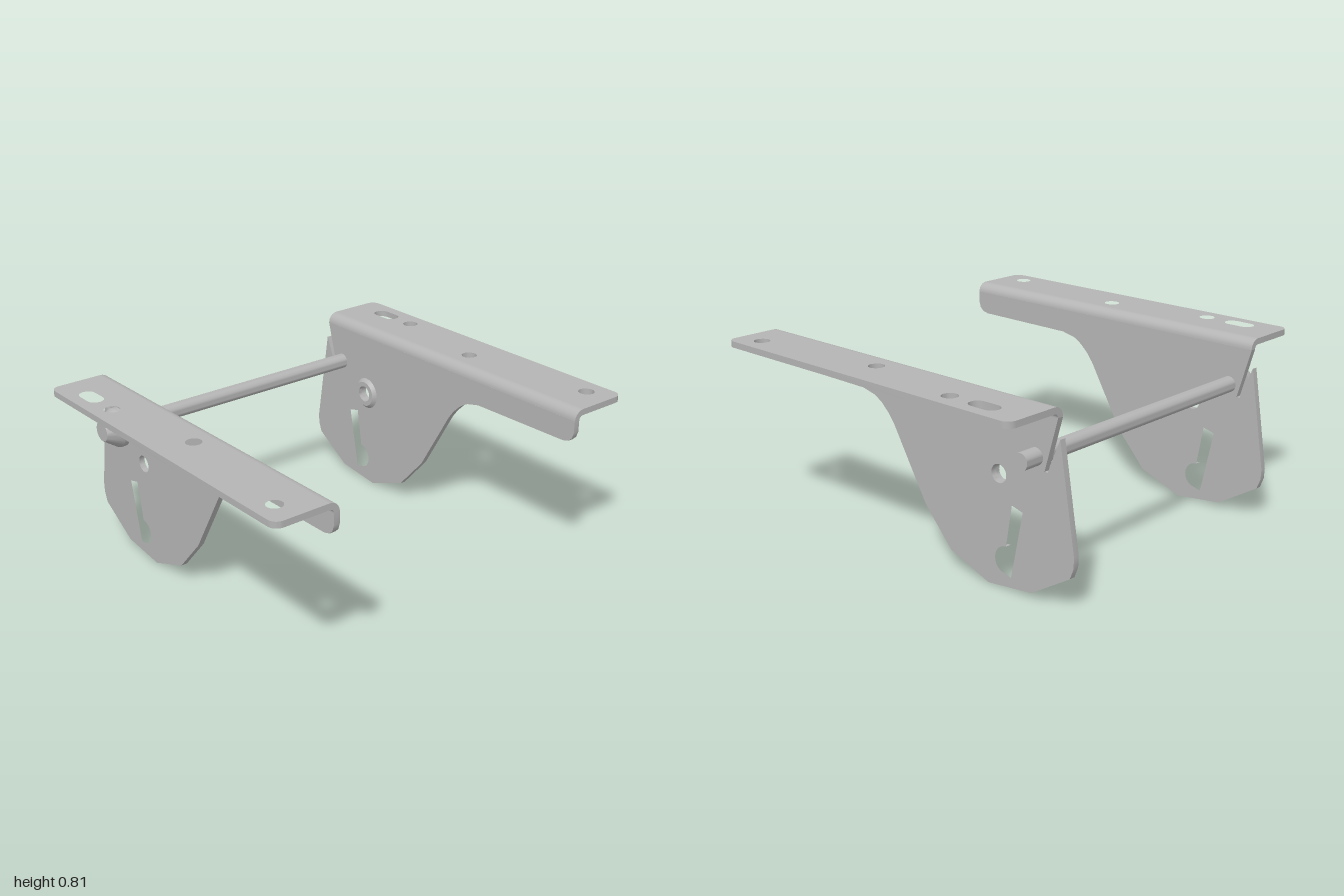
import * as THREE from 'three';
import { toCreasedNormals } from 'three/addons/utils/BufferGeometryUtils.js';

const V = (x, y) => new THREE.Vector2(x, y);
const IN = 0.617, OUT = 0.905, T = 0.027, BEND = 0.045;
const BACK = -0.775, FRONT = 0.82, TOP = 0.802, TILT = -0.011;

// points on an arc
function arc(cx, cy, r, a0, a1, n = 8) {
  return Array.from({ length: n + 1 }, (_, i) => {
    const a = a0 + (a1 - a0) * i / n;
    return V(cx + r * Math.cos(a), cy + r * Math.sin(a));
  });
}
const circle = (cx, cy, r) => arc(cx, cy, r, 0, Math.PI * 2, 24).slice(0, -1);

function extrude(points, holes, depth) {
  const shape = new THREE.Shape(points);
  holes.forEach(h => shape.holes.push(new THREE.Path(h)));
  return new THREE.ExtrudeGeometry(shape, { depth, bevelEnabled: false });
}

export function createModel() {
  const root = new THREE.Group();
  const steel = new THREE.MeshStandardMaterial({ color: 0xb4b4b4 });
  const add = (parent, name, geometry) => {
    const mesh = new THREE.Mesh(toCreasedNormals(geometry, 0.6), steel);
    mesh.name = name;
    parent.add(mesh);
    return mesh;
  };
  const assembly = new THREE.Group();
  assembly.name = 'bracketAssembly';
  assembly.rotation.y = -0.1275;
  root.add(assembly);
  const PI = Math.PI;

  for (const s of [1, -1]) {
    const bracket = new THREE.Group();
    bracket.name = s > 0 ? 'leftBracket' : 'rightBracket';
    assembly.add(bracket);
    const side = pts => pts.map(p => V(p.x * s, p.y));

    // top flange with three round holes and one oblong hole
    const r = 0.04;
    const outline = [
      V(IN + BEND, BACK), ...arc(OUT - r, BACK + r, r, -PI / 2, 0),
      ...arc(OUT - r, FRONT - r, r, 0, PI / 2), V(IN + BEND, FRONT)];
    const oblong = [
      ...arc(0.818, -0.545, 0.036, 0, PI), ...arc(0.818, -0.613, 0.036, PI, PI * 2)];
    const holes = [circle(0.82, -0.407, 0.034), circle(0.741, 0.077, 0.034),
      circle(0.816, 0.702, 0.034), oblong];
    const flangeGeo = extrude(side(outline), holes.map(side), T).rotateX(PI / 2);
    const flange = add(bracket, 'topFlange', flangeGeo);

    // rounded bend between flange and web
    const c = IN + BEND;
    const bendGeo = extrude(side([
      ...arc(c, -BEND, BEND, PI / 2, PI, 8),
      ...arc(c, -BEND, BEND - T, PI, PI / 2, 8)]), [], FRONT - BACK);
    bendGeo.translate(0, 0, BACK);
    const bend = add(bracket, 'bend', bendGeo);
    for (const m of [flange, bend]) {
      m.position.y = TOP;
      m.rotation.x = TILT;
    }

    // hanging web with rear notch, pivot hole and keyhole slot
    const web = [
      V(FRONT, 0.768), V(FRONT, 0.715), V(0.812, 0.69), V(0.795, 0.673), V(0.765, 0.665),
      V(0.27, 0.655), V(0.2, 0.638), V(0.16, 0.613), V(0.12, 0.575), V(0.09, 0.535),
      V(-0.08, 0.24), V(-0.222, 0.08), V(-0.425, 0.001), V(-0.47, 0.005), V(-0.65, 0.025),
      V(-0.838, 0.14), V(-0.855, 0.185), V(-0.857, 0.23), V(-0.786, 0.67),
      V(-0.74, 0.565), V(-0.728, 0.53), V(-0.712, 0.53), V(BACK, 0.749)];
    const keyhole = [
      V(-0.55, 0.355), V(-0.52, 0.18), ...arc(-0.52, 0.12, 0.058, PI / 2, -PI / 3, 10),
      V(-0.545, 0.055), V(-0.605, 0.34)];
    const webGeo = extrude(web, [circle(-0.484, 0.467, 0.038), keyhole], T).rotateY(-PI / 2);
    add(bracket, 'web', webGeo).position.x = s > 0 ? IN + T : -IN;
  }

  // raised collar around the pivot hole, inner face of one web
  const collar = add(assembly, 'pivotCollar', new THREE.LatheGeometry([
    V(0.038, 0), V(0.075, 0), V(0.06, 0.016), V(0.038, 0.016), V(0.038, 0)], 28));
  collar.rotation.z = PI / 2;
  collar.position.set(IN, 0.467, -0.484);

  // cross rod and its tapered end cap
  const rod = add(assembly, 'crossRod', new THREE.CylinderGeometry(0.035, 0.035, 1.375, 24));
  rod.rotation.z = PI / 2;
  rod.position.set(0.0425, 0.58, -0.669);
  const cap = add(assembly, 'endCap', new THREE.LatheGeometry([
    V(0, 0), V(0.088, 0), V(0.088, 0.025), V(0.045, 0.09), V(0, 0.09)], 28));
  cap.rotation.z = PI / 2;
  cap.position.set(-IN - T, 0.58, -0.669);

  return root;
}
